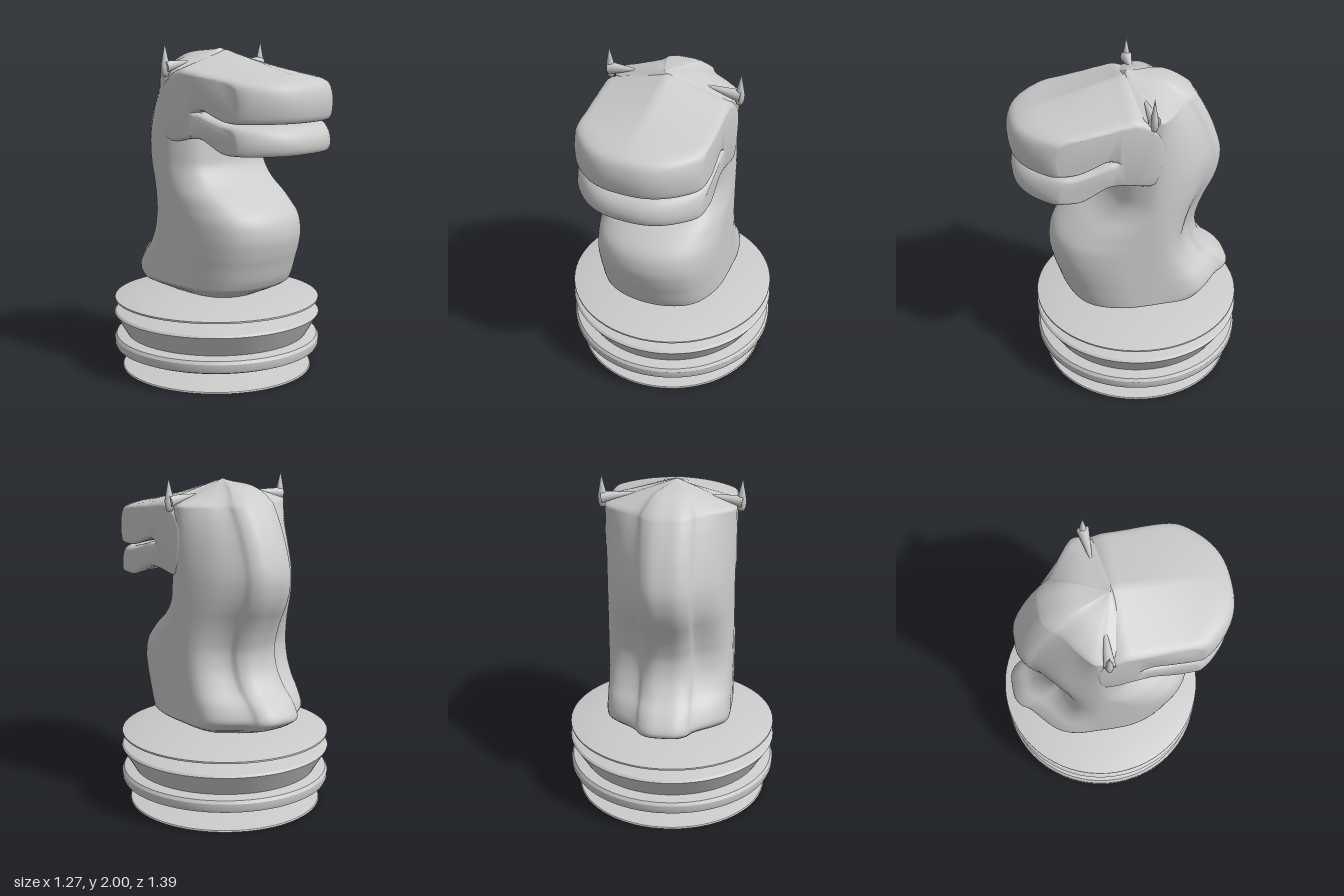
import * as THREE from 'three';
import { toCreasedNormals, mergeVertices } from 'three/addons/utils/BufferGeometryUtils.js';

const material = new THREE.MeshStandardMaterial({ color: 0xcccccc, side: THREE.DoubleSide });
const { clamp, lerp } = THREE.MathUtils;
const v3 = (x, y, z) => new THREE.Vector3(x, y, z);

function mesh(name, geometry) {
  const m = new THREE.Mesh(geometry, material);
  m.name = name;
  return m;
}

// Turned base with stacked rings
function makeBase() {
  const profile = [
    [0, 0], [0.59, 0], [0.585, 0.008], [0.34, 0.045], [0.6, 0.125], [0.63, 0.138], [0.637, 0.155],
    [0.637, 0.19], [0.625, 0.208], [0.56, 0.22], [0.636, 0.348], [0.625, 0.36], [0.48, 0.395],
    [0.632, 0.432], [0.632, 0.442], [0.5, 0.474], [0.2, 0.495], [0, 0.495],
  ].map(([r, y]) => new THREE.Vector2(r, y));
  const base = mesh('base', toCreasedNormals(new THREE.LatheGeometry(profile, 64), 0.5));
  base.position.z = -0.06;
  return base;
}

// Horizontal outline of the neck: rounded chest, flat sides, mane ridge at the back
function neckOutline(front, y, mane, count) {
  const groove = mane + 0.085;
  const bulge = clamp((1.8 - y) / 1.2, 0, 1);
  const chest = clamp((front - 0.06) / 0.35, 0, 1);
  const side = -0.14;
  const half = [
    [0.17, front - lerp(0.012, 0.03, chest)], [0.295, front - lerp(0.05, 0.115, chest)],
    [0.368, front - lerp(0.15, 0.29, chest)], [0.374, side],
    [0.27 + 0.075 * bulge, lerp(side, groove, 0.57)],
    [0.165, groove], [0.135, mane + 0.04], [0.08, mane + 0.006],
  ];
  const points = [
    v3(0, y, front),
    ...half.map(([x, z]) => v3(x, y, z)),
    v3(0, y, mane),
    ...half.slice().reverse().map(([x, z]) => v3(-x, y, z)),
  ];
  const curve = new THREE.CatmullRomCurve3(points, true);
  return Array.from({ length: count }, (_, i) => {
    const p = curve.getPoint(i / count);
    p.x = clamp(p.x, -0.378, 0.378);
    return p;
  });
}

// Neck lofted from foot to crown; each row is chest z, height, mane z
function makeNeck() {
  const count = 108;
  const spine = new THREE.CatmullRomCurve3([
    [0.39, 0.57, -0.57], [0.415, 0.62, -0.635], [0.44, 0.7, -0.59], [0.465, 0.78, -0.5],
    [0.48, 0.88, -0.435], [0.455, 0.98, -0.415], [0.35, 1.08, -0.435], [0.2, 1.18, -0.475],
    [0.125, 1.27, -0.52], [0.11, 1.35, -0.545], [0.1, 1.45, -0.552], [0.08, 1.6, -0.51],
    [0.08, 1.75, -0.44], [0.08, 1.84, -0.385],
  ].map((p) => v3(...p)));
  const rings = [];
  for (let i = 0; i <= 65; i++) {
    const p = spine.getPoint(i / 65);
    rings.push(neckOutline(p.x, p.y, p.z, count));
  }
  // Tapered foot
  const foot = [[0.58, 0.485], [0.8, 0.525], [0.95, 0.555]].map(([s, y]) =>
    rings[0].map((p) => v3(p.x * s, y, -0.03 + (p.z + 0.03) * s)));
  // Crown rising to a point, fuller over the mane
  const top = rings[rings.length - 1];
  const crown = [];
  for (let i = 1; i <= 12; i++) {
    const s = Math.max(1 - i / 12, 0.001);
    crown.push(top.map((p) => {
      const back = clamp((-p.z - 0.14) / 0.2, 0, 1);
      const rise = 0.042 * back * Math.sin(Math.PI * Math.pow(s, 1.5));
      return v3(p.x * s - 0.025 * (1 - s), lerp(1.964, 1.84, s) + rise, p.z * s);
    }));
  }
  const all = [...foot, ...rings, ...crown];
  const index = [];
  for (let r = 0; r < all.length - 1; r++) {
    for (let i = 0; i < count; i++) {
      const a = r * count + i;
      const b = r * count + (i + 1) % count;
      index.push(a, b, a + count, b, b + count, a + count);
    }
  }
  const geometry = new THREE.BufferGeometry().setFromPoints(all.flat());
  geometry.setIndex(index);
  geometry.computeVertexNormals();
  return mesh('neckAndMane', geometry);
}

// Head: side profile with open mouth, extruded across and then shaped
function makeHead() {
  const outline = new THREE.CatmullRomCurve3([
    [-0.12, 1.86], [0, 1.95], [0.1, 1.93], [0.25, 1.892], [0.42, 1.845], [0.6, 1.8], [0.665, 1.765],
    [0.69, 1.7], [0.69, 1.62], [0.672, 1.568], [0.62, 1.557], [0.47, 1.56], [0.35, 1.584],
    [0.24, 1.612], [0.19, 1.616], [0.12, 1.604], [0.19, 1.602], [0.33, 1.574], [0.48, 1.55],
    [0.61, 1.535], [0.664, 1.49], [0.68, 1.43], [0.665, 1.386], [0.6, 1.378], [0.45, 1.38],
    [0.32, 1.418], [0.2, 1.452], [0.08, 1.45], [-0.1, 1.44],
  ].map(([z, y]) => v3(z, y, 0)), true);
  const points = Array.from({ length: 116 }, (_, i) => outline.getPoint(i / 116));
  const shape = new THREE.Shape(points.map((p) => new THREE.Vector2(p.x, p.y)));
  const bevel = 0.04;
  const depth = 0.762 - 2 * bevel;
  let geometry = new THREE.ExtrudeGeometry(shape, {
    depth, steps: 24, bevelEnabled: true, bevelThickness: bevel, bevelSize: 0.022,
    bevelOffset: -0.022, bevelSegments: 4,
  });
  geometry.translate(0, 0, -depth / 2);
  geometry.rotateY(-Math.PI / 2);
  const pos = geometry.attributes.position;
  for (let i = 0; i < pos.count; i++) {
    const x = pos.getX(i), y = pos.getY(i), z = pos.getZ(i);
    const across = Math.abs(x) / 0.381;
    // Roof slopes to the sides near the brow; muzzle is round in plan and leans slightly left
    const roof = 0.11 * across * clamp(1 - z / 0.75, 0, 1) * clamp((y - 1.64) / 0.25, 0, 1);
    const round = 0.21 * Math.pow(across, 2.6) * clamp((z - 0.12) / 0.55, 0, 1);
    const lean = 0.02 * clamp(z / 0.45, 0, 1);
    pos.setXYZ(i, x + lean, y - roof, z - round);
  }
  geometry.deleteAttribute('normal');
  geometry.deleteAttribute('uv');
  geometry = toCreasedNormals(mergeVertices(geometry, 1e-5), 0.8);
  return mesh('head', geometry);
}

// Pointed ear with a ridge sinking into the crown
function makeEar(side) {
  const ear = new THREE.Group();
  ear.name = side > 0 ? 'leftEar' : 'rightEar';
  const profile = [[0, 0], [0.018, 0.006], [0.026, 0.03], [0.028, 0.065], [0.021, 0.1], [0.011, 0.145], [0, 0.2]]
    .map(([r, y]) => new THREE.Vector2(r, y));
  const tip = mesh('earTip', new THREE.LatheGeometry(profile, 16));
  tip.position.set(side * 0.398, 1.8, -0.075);
  tip.rotation.z = -side * 0.03;
  tip.scale.z = 0.8;
  const from = v3(side * 0.405, 1.858, -0.075);
  const to = v3(side * 0.16, 1.892, -0.06);
  const ridge = mesh('earRidge', new THREE.ConeGeometry(0.036, from.distanceTo(to), 16));
  ridge.position.copy(from).lerp(to, 0.5);
  ridge.quaternion.setFromUnitVectors(v3(0, 1, 0), to.clone().sub(from).normalize());
  ear.add(tip, ridge);
  return ear;
}

export function createModel() {
  const model = new THREE.Group();
  model.name = 'chessKnight';
  model.add(makeBase(), makeNeck(), makeHead(), makeEar(1), makeEar(-1));
  return model;
}
